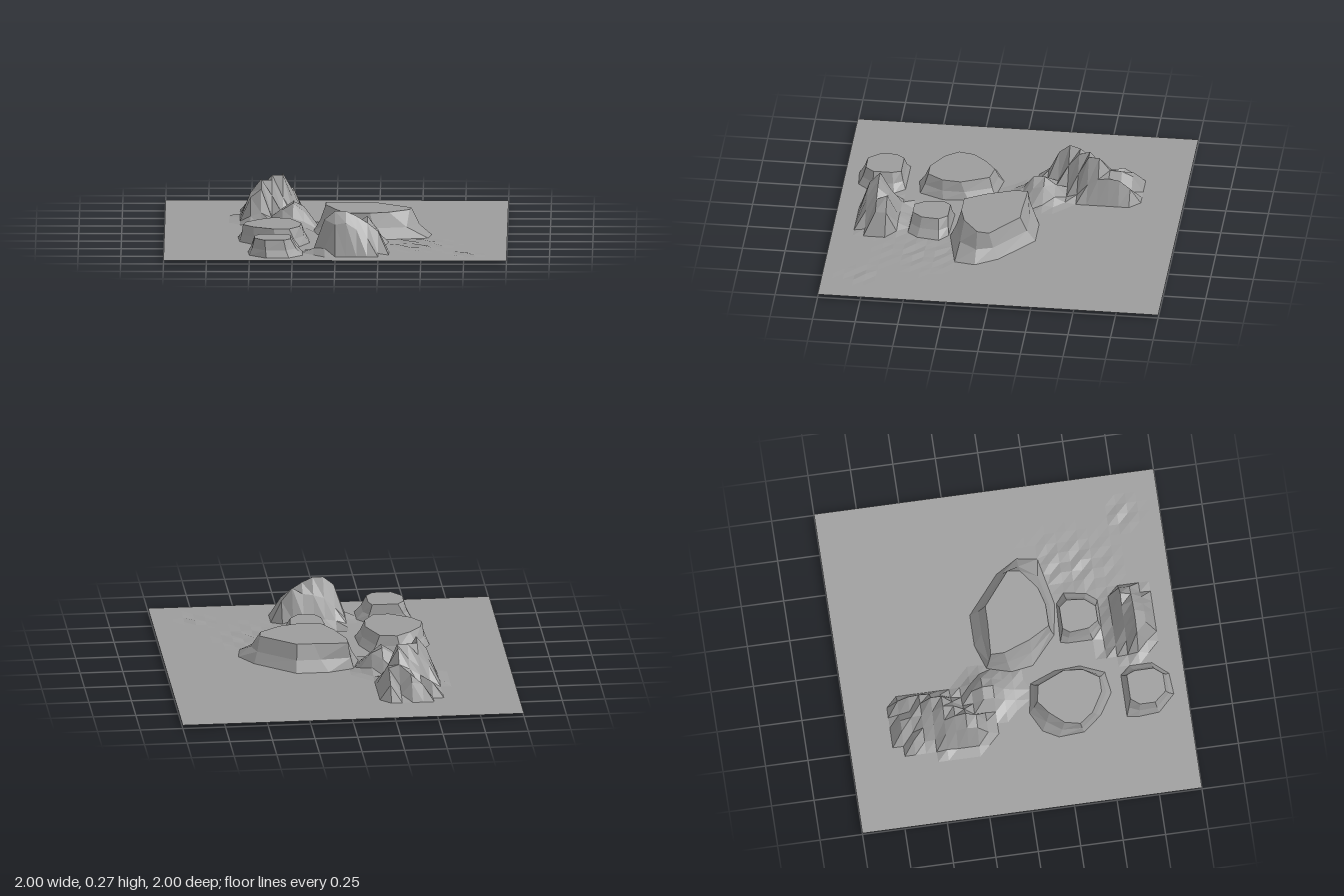
import * as THREE from 'three';

const GROUND = 0.022;
const N = 32;              // ground cells per side
const STEP = 2 / N;

// Mesas: flat tops with flared walls; rim and foot are matching [x, z] outlines
const mesas = [
  { name: 'largeMesa', top: 0.17,
    rim: [[-.06, -.11], [.14, -.1], [.24, -.1], [.44, .06], [.43, .13], [.31, .22], [.2, .25], [.07, .25], [0, .13], [-.06, -.03]],
    foot: [[-.09, -.14], [.06, -.19], [.25, -.19], [.48, 0], [.56, .13], [.54, .25], [.25, .31], [.06, .28], [-.11, .13], [-.13, 0]] },
  { name: 'leftMesa', top: 0.12,
    rim: [[-.37, .12], [-.27, .14], [-.2, .3], [-.21, .41], [-.27, .5], [-.36, .5], [-.48, .43], [-.54, .35], [-.52, .26], [-.45, .18]],
    foot: [[-.4, .07], [-.22, .1], [-.16, .25], [-.15, .4], [-.21, .54], [-.34, .56], [-.47, .48], [-.56, .37], [-.57, .22], [-.52, .13]] },
  { name: 'frontMesa', top: 0.12,
    rim: [[-.43, .66], [-.28, .66], [-.26, .71], [-.26, .82], [-.3, .87], [-.41, .87], [-.47, .8], [-.47, .71]],
    foot: [[-.5, .63], [-.24, .63], [-.19, .69], [-.19, .82], [-.27, .91], [-.4, .92], [-.5, .82], [-.51, .7]] },
  { name: 'smallMesa', top: 0.12,
    rim: [[.06, .33], [.19, .33], [.23, .38], [.22, .48], [.17, .54], [.08, .54], [.04, .48], [.03, .37]],
    foot: [[.01, .31], [.25, .32], [.31, .37], [.29, .5], [.24, .56], [.07, .56], [0, .5], [0, .35]] },
];

// Jagged mountains: heights in hundredths on the ground grid, from corner x, z
const mountains = [
  { x: -.5625, z: -.6875, rows: [
    [0, 0, 9, 10, 3, 9, 0, 0],
    [0, 8, 4, 13, 6, 14, 0, 0],
    [0, 3, 10, 14, 17, 15, 0, 0],
    [0, 4, 13, 18, 25, 14, 0, 0],
    [2, 11, 18, 25, 25, 10, 0, 0],
    [1, 14, 23, 23, 13, 3, 0, 0],
    [1, 17, 25, 15, 4, 1, 1, 0],
    [1, 15, 20, 4, 5, 9, 4, 1],
    [0, 5, 7, 4, 10, 14, 11, 2],
    [0, 0, 0, 3, 10, 14, 9, 2],
    [0, 0, 0, 1, 4, 6, 4, 2],
    [0, 0, 0, 0, 1, 2, 2, 1]] },
  { x: -.125, z: .5625, rows: [
    [0, -2, -2, 0, 0, 0, 0, 0],
    [0, 2, 3, 3, 4, 3, 1, 0],
    [1, 8, 14, 16, 17, 21, 13, 0],
    [3, 20, 25, 25, 22, 18, 13, 0],
    [0, 4, 18, 19, 15, 10, 1, 0]] },
];

const material = new THREE.MeshStandardMaterial({
  color: 0x9c9c9c, flatShading: true, side: THREE.DoubleSide,
});

function makeMesh(name, points, index) {
  const geometry = new THREE.BufferGeometry();
  geometry.setAttribute('position', new THREE.Float32BufferAttribute(points, 3));
  geometry.setIndex(index);
  const flat = geometry.toNonIndexed();
  flat.computeVertexNormals();
  const mesh = new THREE.Mesh(flat, material);
  mesh.name = name;
  return mesh;
}

function inside([x, z], outline) {
  let hit = false;
  outline.forEach(([ax, az], i) => {
    const [bx, bz] = outline[(i + 1) % outline.length];
    if ((az > z) !== (bz > z) && x < ax + ((z - az) / (bz - az)) * (bx - ax)) hit = !hit;
  });
  return hit;
}

// Nearest point of an outline, with its distance
function nearest([x, z], outline) {
  let best = { distance: Infinity };
  outline.forEach(([ax, az], i) => {
    const [bx, bz] = outline[(i + 1) % outline.length];
    const dx = bx - ax, dz = bz - az;
    const t = THREE.MathUtils.clamp(((x - ax) * dx + (z - az) * dz) / (dx * dx + dz * dz), 0, 1);
    const p = [ax + dx * t, az + dz * t];
    const distance = Math.hypot(p[0] - x, p[1] - z);
    if (distance < best.distance) best = { p, distance };
  });
  return best;
}

function groundHeight(x, z) {
  for (const m of mountains) {
    const h = m.rows[Math.round((z - m.z) / STEP)]?.[Math.round((x - m.x) / STEP)];
    if (h) return Math.max(0, GROUND + h / 100);
  }
  // faint ripples on the right-hand plain
  const fade = Math.exp(-(((x - .45) / .15) ** 2) - ((z - .42) / .2) ** 2)
    + Math.exp(-(((x - .75) / .06) ** 2) - ((z - .77) / .08) ** 2);
  return GROUND + (fade > 0.05 ? 0.008 * fade * Math.sin(x * 47 + z * 31) : 0);
}

// Ground sheet with mountains, fitted to each mesa's foot and open beneath it
function buildGround() {
  const points = [], index = [], spots = [];
  for (let j = 0; j <= N; j++) {
    for (let i = 0; i <= N; i++) {
      let spot = [-1 + i * STEP, -1 + j * STEP];
      let y = groundHeight(...spot);
      const owner = mesas.find((m) => inside(spot, m.foot) || nearest(spot, m.foot).distance < STEP * 0.55);
      if (owner) {
        const edge = nearest(spot, owner.foot);
        if (edge.distance < STEP * 0.55) spot = edge.p;
        y = GROUND;
      }
      spots.push({ spot, owner });
      points.push(spot[0], y, spot[1]);
    }
  }
  const addTriangle = (...corners) => {
    const [a, b, c] = corners.map((k) => spots[k]);
    const middle = [0, 1].map((k) => (a.spot[k] + b.spot[k] + c.spot[k]) / 3);
    const hidden = a.owner && a.owner === b.owner && a.owner === c.owner && inside(middle, a.owner.foot);
    if (!hidden) index.push(...corners);
  };
  for (let j = 0; j < N; j++) {
    for (let i = 0; i < N; i++) {
      const a = j * (N + 1) + i, b = a + N + 1;
      addTriangle(a, b, b + 1);
      addTriangle(a, b + 1, a + 1);
    }
  }
  return makeMesh('groundAndMountains', points, index);
}

// Mesa: foot, shoulder and rim rings, closed by a flat top
function buildMesa({ name, top, rim, foot }) {
  const n = rim.length, points = [], index = [];
  const center = [0, 0];
  for (const [inward, up] of [[0, 0], [0.55, 0.42], [1, 1]]) {
    rim.forEach(([x, z], i) => {
      const [fx, fz] = foot[i];
      points.push(fx + (x - fx) * inward, GROUND + (top - GROUND) * up, fz + (z - fz) * inward);
    });
  }
  rim.forEach(([x, z]) => { center[0] += x / n; center[1] += z / n; });
  points.push(center[0], top, center[1]);
  for (let i = 0; i < n; i++) {
    const j = (i + 1) % n;
    for (const r of [0, n]) index.push(r + i, r + n + i, r + j, r + j, r + n + i, r + n + j);
    index.push(3 * n, 2 * n + j, 2 * n + i);
  }
  return makeMesh(name, points, index);
}

export function createModel() {
  const group = new THREE.Group();
  group.name = 'desertTerrain';
  group.add(buildGround(), ...mesas.map(buildMesa));
  return group;
}
